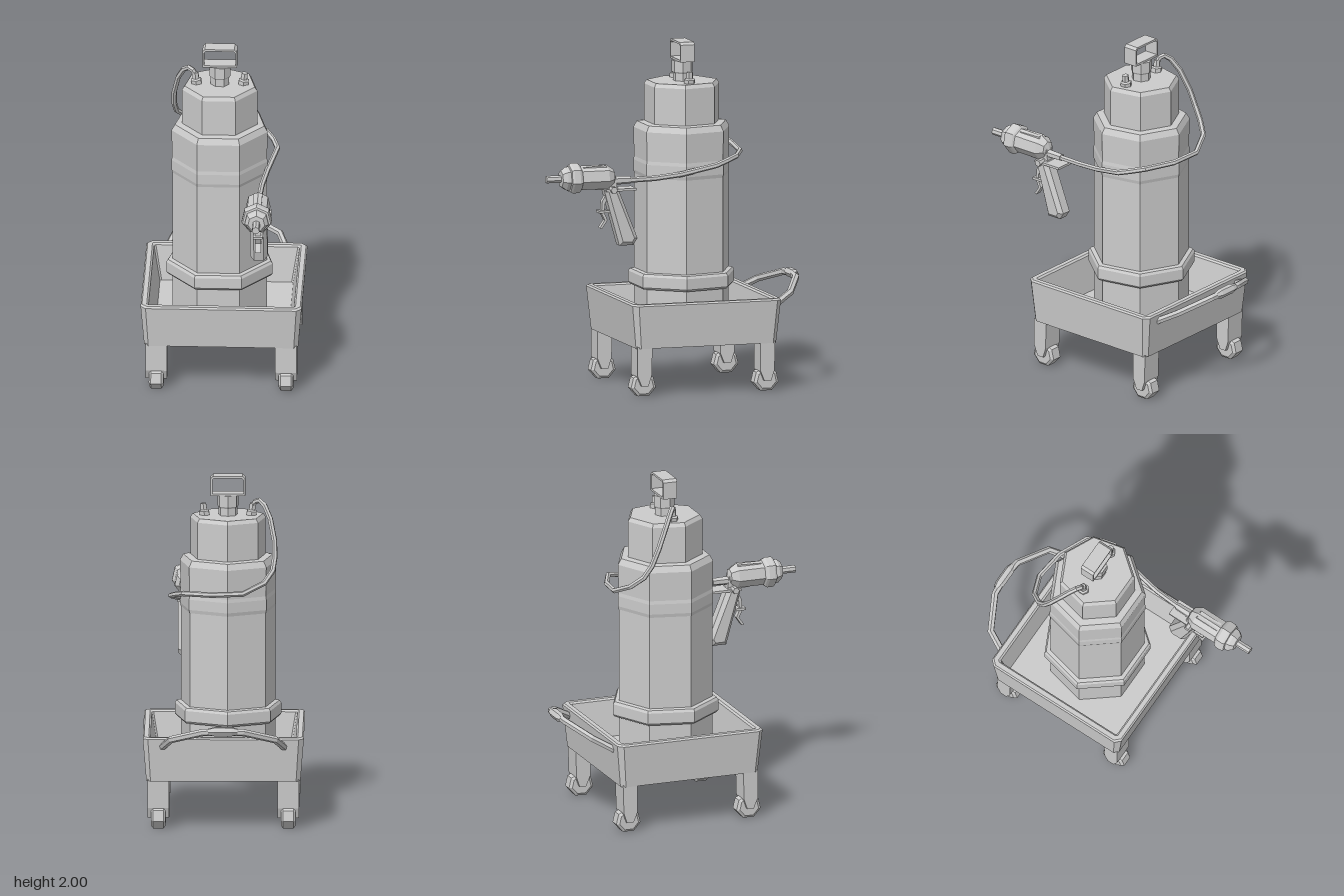
import * as THREE from 'three';

const mat = new THREE.MeshStandardMaterial({ color: 0xcccccc, flatShading: true, side: THREE.DoubleSide });
const V = (x, y, z) => new THREE.Vector3(x, y, z);

function add(parent, name, geo, x = 0, y = 0, z = 0) {
  const m = new THREE.Mesh(geo, mat);
  m.name = name;
  m.position.set(x, y, z);
  parent.add(m);
  return m;
}

// Faceted turned part from [radius, height] pairs, one corner pointing to -z
function turned(profile, sides = 7) {
  return new THREE.LatheGeometry(profile.map(p => new THREE.Vector2(...p)), sides, Math.PI);
}

// Side outline of [z, y] pairs given a width along x, centred on x = 0
function sidePlate(outline, width, bevel = 0) {
  const depth = width - 2 * bevel;
  const geo = new THREE.ExtrudeGeometry(new THREE.Shape(outline.map(p => new THREE.Vector2(...p))), {
    depth, bevelEnabled: bevel > 0, bevelSize: bevel, bevelThickness: bevel, bevelOffset: -bevel, bevelSegments: 1
  });
  return geo.translate(0, 0, -depth / 2).rotateY(-Math.PI / 2);
}

// Bent tube with one ring of vertices at every given point
function bentTube(points, radius, sides) {
  const curve = new THREE.CatmullRomCurve3(points.map(p => V(...p)));
  curve.getPointAt = curve.getPoint;
  curve.getTangentAt = curve.getTangent;
  return new THREE.TubeGeometry(curve, points.length - 1, radius, sides);
}

// Skin over chamfered rectangles [halfX, y, halfZ, chamfer], capped at both ends
function loftRects(rings) {
  const pos = [], idx = [], n = 8;
  for (const [a, y, b, c] of rings) {
    const corners = [[a - c, b], [a, b - c], [a, c - b], [a - c, -b], [c - a, -b], [-a, c - b], [-a, b - c], [c - a, b]];
    for (const [x, z] of corners) pos.push(x, y, z);
  }
  for (let r = 0; r < rings.length - 1; r++) {
    for (let i = 0; i < n; i++) {
      const p = r * n + i, q = r * n + (i + 1) % n;
      idx.push(p, q, q + n, p, q + n, p + n);
    }
  }
  const last = (rings.length - 1) * n;
  for (let i = 1; i < n - 1; i++) {
    idx.push(0, i + 1, i);
    idx.push(last, last + i, last + i + 1);
  }
  const geo = new THREE.BufferGeometry();
  geo.setAttribute('position', new THREE.Float32BufferAttribute(pos, 3));
  geo.setIndex(idx);
  geo.computeVertexNormals();
  return geo;
}

function buildCart() {
  const cart = new THREE.Group();
  cart.name = 'cart';
  // Open tray with sloping walls
  add(cart, 'tray', loftRects([
    [0.445, 0.28, 0.425, 0.025], [0.465, 0.53, 0.45, 0.03], [0.457, 0.54, 0.442, 0.03],
    [0.43, 0.54, 0.415, 0.01], [0.42, 0.53, 0.405, 0.01], [0.385, 0.32, 0.375, 0.01]
  ]), 0, 0, -0.11);

  // Legs with faceted casters
  const leg = sidePlate([[-0.045, 0.29], [-0.04, 0.12], [-0.02, 0.06], [0.02, 0.06], [0.045, 0.12], [0.045, 0.29]], 0.125);
  const wheel = turned([[0, -0.042], [0.055, -0.042], [0.071, -0.03], [0.071, 0.03], [0.055, 0.042], [0, 0.042]])
    .rotateZ(Math.PI / 2).rotateX(Math.PI / 2).scale(1, 1, 1.08);
  for (const x of [-0.375, 0.375]) {
    for (const z of [0.265, -0.48]) {
      add(cart, 'leg', leg, x, 0, z);
      add(cart, 'caster', wheel, x, 0.064, z);
    }
  }

  // Push handle sloping up behind the tray
  add(cart, 'pushHandle', bentTube([
    [-0.355, 0.48, -0.535], [-0.3, 0.55, -0.66], [-0.115, 0.61, -0.755], [0, 0.617, -0.765],
    [0.115, 0.61, -0.755], [0.3, 0.55, -0.66], [0.355, 0.48, -0.535]
  ], 0.021, 6));
  add(cart, 'handleGrip', turned([[0.018, -0.085], [0.028, -0.05], [0.028, 0.05], [0.018, 0.085]], 6)
    .rotateZ(Math.PI / 2), 0, 0.617, -0.765);
  return cart;
}

function buildTank() {
  const tank = new THREE.Group();
  tank.name = 'tank';
  tank.position.set(-0.023, 0, -0.11);
  // Seven-sided drum with base ring, bulge and stepped cap
  add(tank, 'drum', turned([
    [0, 0.32], [0.28, 0.32], [0.28, 0.575], [0.305, 0.575], [0.315, 0.587], [0.315, 0.65], [0.305, 0.665],
    [0.28, 0.67], [0.28, 1.22], [0.285, 1.24], [0.285, 1.3], [0.281, 1.32], [0.285, 1.49], [0.265, 1.525],
    [0.223, 1.53], [0.223, 1.745], [0.208, 1.767], [0, 1.767]
  ]));
  add(tank, 'neck', turned([[0.055, 1.76], [0.055, 1.81], [0.062, 1.82], [0.062, 1.885], [0, 1.885]]));

  // Carrying loop
  const loop = new THREE.Shape();
  [[-0.1, 1.885], [0.1, 1.885], [0.1, 1.985], [0.085, 2], [-0.085, 2], [-0.1, 1.985]]
    .forEach(([x, y], i) => i ? loop.lineTo(x, y) : loop.moveTo(x, y));
  const gap = new THREE.Path();
  [[-0.09, 1.897], [-0.09, 1.978], [-0.08, 1.988], [0.08, 1.988], [0.09, 1.978], [0.09, 1.897]]
    .forEach(([x, y], i) => i ? gap.lineTo(x, y) : gap.moveTo(x, y));
  loop.holes.push(gap);
  add(tank, 'carryLoop', new THREE.ExtrudeGeometry(loop, { depth: 0.086, bevelEnabled: false }), 0, 0, -0.043);

  // Two ports on the cap
  const port = turned([[0.033, -0.01], [0.033, 0.025], [0.021, 0.032], [0.019, 0.07], [0, 0.07]], 6);
  for (const s of [-1, 1]) add(tank, 'port', port, s * 0.135, 1.765, 0).rotation.z = -s * 0.12 * s * s;
  return tank;
}

function buildGun() {
  const gun = new THREE.Group();
  gun.name = 'sprayGun';
  gun.position.set(0.22, 0, 0);
  // Barrel along z, from the tapered rear to the nozzle
  add(gun, 'barrel', turned([
    [0, 0.375], [0.045, 0.39], [0.072, 0.43], [0.072, 0.59], [0.083, 0.598], [0.09, 0.61], [0.09, 0.645],
    [0.083, 0.658], [0.07, 0.66], [0.07, 0.68], [0.05, 0.706], [0.022, 0.708], [0.022, 0.796], [0, 0.796]
  ]).rotateX(Math.PI / 2), 0, 1.26, 0);
  add(gun, 'topBracket', sidePlate([[0.58, 1.325], [0.44, 1.33], [0.38, 1.26], [0.37, 1.19], [0.5, 1.19]], 0.05));
  add(gun, 'handGuard', new THREE.BoxGeometry(0.105, 0.014, 0.18), 0, 1.187, 0.355);
  add(gun, 'crossPin', new THREE.CylinderGeometry(0.02, 0.02, 0.15, 6).rotateZ(Math.PI / 2), 0, 1.19, 0.405);
  add(gun, 'grip', sidePlate([[0.455, 1.2], [0.37, 1.2], [0.25, 0.9], [0.275, 0.86], [0.36, 0.86]], 0.1, 0.022));
  // Curved trigger with a finger rest
  add(gun, 'trigger', sidePlate([
    [0.42, 1.19], [0.46, 1.12], [0.465, 1.05], [0.445, 1.01], [0.475, 0.965], [0.462, 0.96],
    [0.428, 1.01], [0.448, 1.055], [0.442, 1.11], [0.4, 1.18]
  ], 0.035));
  add(gun, 'fingerRest', new THREE.BoxGeometry(0.055, 0.014, 0.075), 0, 1.06, 0.445);
  add(gun, 'hoseConnector', new THREE.CylinderGeometry(0.026, 0.022, 0.12, 6).rotateX(Math.PI / 2), 0, 1.237, 0.345);
  return gun;
}

export function createModel() {
  const model = new THREE.Group();
  model.name = 'pumpCart';
  model.add(buildCart(), buildTank(), buildGun());
  // Hose from the right port, around the back of the drum, to the gun
  add(model, 'hose', bentTube([
    [-0.163, 1.81, -0.11], [-0.18, 1.845, -0.115], [-0.205, 1.855, -0.13], [-0.235, 1.83, -0.155],
    [-0.268, 1.76, -0.195], [-0.293, 1.64, -0.25], [-0.295, 1.55, -0.29], [-0.283, 1.48, -0.335],
    [-0.235, 1.42, -0.4], [-0.11, 1.365, -0.45], [0.067, 1.355, -0.43], [0.235, 1.35, -0.355],
    [0.28, 1.33, -0.28], [0.305, 1.31, -0.21], [0.255, 1.26, -0.015], [0.23, 1.24, 0.14], [0.22, 1.235, 0.31]
  ], 0.016, 6));
  return model;
}
